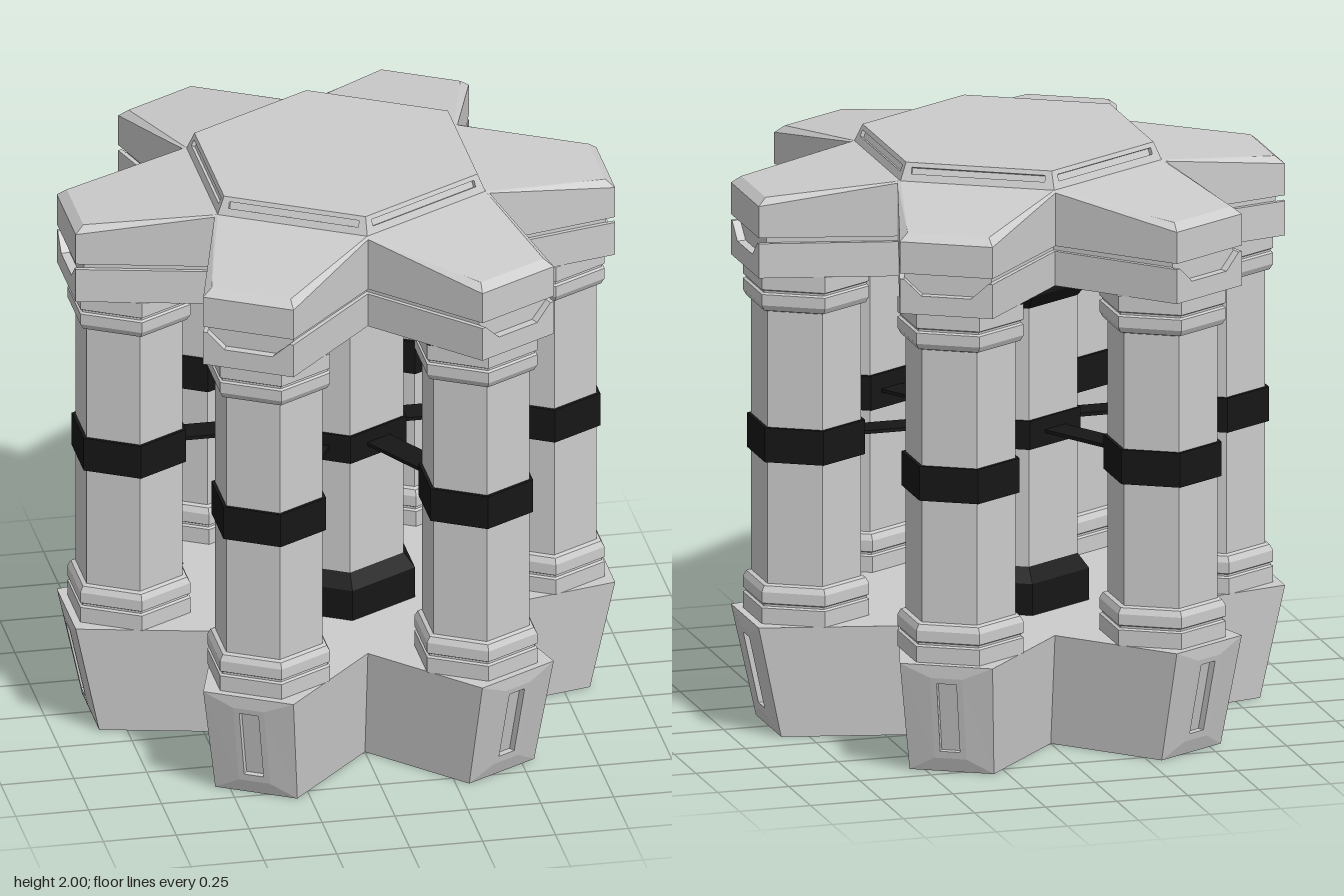
import * as THREE from 'three';

const grey = new THREE.MeshStandardMaterial({ color: 0xcccccc, flatShading: true });
const black = new THREE.MeshStandardMaterial({ color: 0x161616, flatShading: true });
const V = (x, y, z) => new THREE.Vector3(x, y, z);
const STEP = Math.PI / 3;

// Joins matching loops of points; skip(ring, i) leaves a quad open
function loft(rings, { start = false, end = false, skip = () => false } = {}) {
  const out = [];
  const tri = (...p) => p.forEach(v => out.push(v.x, v.y, v.z));
  const cap = (ring, flip) => {
    const c = ring.reduce((s, p) => s.add(p), V(0, 0, 0)).divideScalar(ring.length);
    ring.forEach((p, i) => {
      const q = ring[(i + 1) % ring.length];
      if (p.distanceTo(q) < 1e-5) return;
      flip ? tri(c, q, p) : tri(c, p, q);
    });
  };
  for (let r = 0; r + 1 < rings.length; r++) {
    const A = rings[r], B = rings[r + 1];
    A.forEach((a, i) => {
      if (skip(r, i)) return;
      const j = (i + 1) % A.length;
      if (a.distanceTo(A[j]) > 1e-5) tri(a, A[j], B[j]);
      if (B[i].distanceTo(B[j]) > 1e-5) tri(a, B[j], B[i]);
    });
  }
  if (start) cap(rings[0], true);
  if (end) cap(rings[rings.length - 1], false);
  const g = new THREE.BufferGeometry();
  g.setAttribute('position', new THREE.Float32BufferAttribute(out, 3));
  g.computeVertexNormals();
  return g;
}

// Six-armed star outline: two tip corners, then a valley, per arm
function star(tip, half, valley, y, yValley = y) {
  const pts = [];
  for (let k = 0; k < 6; k++) {
    const a = k * STEP;
    const at = (x, w, h) => V(x * Math.cos(a) - w * Math.sin(a), h, -x * Math.sin(a) - w * Math.cos(a));
    pts.push(at(tip, -half, y), at(tip, half, y));
    pts.push(V(valley * Math.cos(a + STEP / 2), yValley, -valley * Math.sin(a + STEP / 2)));
  }
  return pts;
}

// Star outline whose tips are drawn back onto the valleys, giving a hexagon
function hexStar(r, y) {
  const s = star(0, 0, r, y);
  return s.map((p, i) => (i % 3 === 0 ? s[(i + 17) % 18] : i % 3 === 1 ? s[i + 1] : p).clone());
}

// Four corners of an outward-facing panel on the +x side
const rect = (x0, y0, h0, x1, y1, h1 = h0) =>
  [V(x0, y0, h0), V(x0, y0, -h0), V(x1, y1, -h1), V(x1, y1, h1)];

const lathe = pts => new THREE.LatheGeometry(pts.map(p => new THREE.Vector2(...p)), 6);
const mirrored = pts => [...pts, ...pts.map(([r, y]) => [r, 2 - y]).reverse()];

function add(parent, name, geometry, material = grey) {
  const m = new THREE.Mesh(geometry, material);
  m.name = name;
  parent.add(m);
  return m;
}

export function createModel() {
  const model = new THREE.Group();
  model.name = 'pillaredStructure';

  // Tapered star base, open at the tips where the slotted panels sit
  add(model, 'base', loft(
    [star(0.8417, 0.1456, 0.491, 0), star(0.925, 0.16, 0.54, 0.39)],
    { start: true, end: true, skip: (r, i) => i % 3 === 0 }));

  // Roof: lower slab, groove, then upper slab sloping up to the hexagon
  add(model, 'roofLowerSlab', loft(
    [star(0.895, 0.167, 0.54, 1.61), star(0.895, 0.167, 0.54, 1.73)], { start: true, end: true }));
  add(model, 'roofGroove', loft([star(0.895, 0.15, 0.52, 1.73), star(0.895, 0.15, 0.52, 1.75)]));
  add(model, 'roofUpperSlab', loft([
    star(0.925, 0.16, 0.545, 1.75),
    star(0.925, 0.16, 0.545, 1.86, 1.935),
    star(0.895, 0.14, 0.53, 1.885, 1.94),
    hexStar(0.53, 1.94),
  ], { start: true }));
  add(model, 'roofTop', loft([hexStar(0.502, 2)], { end: true }));

  // Central column with black collars and band
  add(model, 'centralColumn', lathe([[0.24, 0.39], [0.24, 1.61]]));
  const collar = [[0.28, 0.39], [0.28, 0.5], [0.24, 0.55]];
  add(model, 'centralLowerCollar', lathe(collar), black);
  add(model, 'centralUpperCollar', lathe(collar.map(([r, y]) => [r, 2 - y]).reverse()), black);
  add(model, 'centralBand', lathe([[0.235, 0.96], [0.25, 0.96], [0.25, 1.06], [0.235, 1.06]]), black);

  // Geometry shared by all six arms
  const face = (y, out) => 0.8417 + 0.2137 * y + out;
  const panel = (y0, y1, h, out) => rect(face(y0, out), y0, h, face(y1, out), y1);
  const basePanel = loft([
    rect(0.8417, 0, 0.1456, 0.925, 0.39, 0.16),
    panel(0.05, 0.345, 0.055, 0.009),
    panel(0.075, 0.325, 0.034, 0.009),
    panel(0.075, 0.325, 0.034, -0.015),
  ], { end: true });

  const slope = (t, h) => { // point pair on the slanted edge of the roof top
    const x = THREE.MathUtils.lerp(0.53, 0.502, t) * Math.cos(STEP / 2);
    return [x, 1.94 + 0.06 * t, h ?? THREE.MathUtils.lerp(0.53, 0.502, t) / 2];
  };
  const slot = [...slope(0.4, 0.23), ...slope(0.75, 0.23)];
  const sunk = slot.map((v, i) => (i % 3 === 0 ? v - 0.012 : i % 3 === 1 ? v - 0.006 : v));
  const roofEdge = loft([
    rect(...slope(0), ...slope(1)), rect(...slot), rect(...sunk),
  ], { end: true });

  // Notched block closing the tip of the lower slab
  const outline = [[-0.16, 1.61], [0.16, 1.61], [0.16, 1.73], [0.145, 1.73],
    [0.085, 1.675], [-0.085, 1.675], [-0.145, 1.73], [-0.16, 1.73]];
  const tipBlock = new THREE.ExtrudeGeometry(
    new THREE.Shape(outline.map(p => new THREE.Vector2(...p))), { depth: 0.03, bevelEnabled: false });
  const pos = tipBlock.attributes.position;
  for (let i = 0; i < pos.count; i++) if (pos.getZ(i) < 0.01) pos.setX(i, pos.getX(i) * 1.045);
  tipBlock.rotateY(Math.PI / 2).translate(0.895, 0, 0);

  const column = lathe(mirrored([
    [0.218, 0.39], [0.218, 0.445], [0.208, 0.45], [0.208, 0.457], [0.218, 0.462],
    [0.218, 0.5], [0.206, 0.52], [0.19, 0.525],
  ])).translate(0.71, 0, 0);
  const belt = lathe([[0.185, 0.95], [0.203, 0.95], [0.203, 1.07], [0.185, 1.07]]).translate(0.71, 0, 0);
  const strap = new THREE.BoxGeometry(0.37, 0.012, 0.1).translate(0.375, 1.01, 0);

  for (let k = 0; k < 6; k++) {
    const arm = new THREE.Group();
    arm.name = 'arm' + (k + 1);
    arm.rotation.y = k * STEP;
    add(arm, 'baseSlotPanel', basePanel);
    add(arm, 'roofSlottedEdge', roofEdge);
    add(arm, 'roofNotchedTip', tipBlock);
    add(arm, 'outerColumn', column);
    add(arm, 'columnBelt', belt, black);
    add(arm, 'connectingStrap', strap, black);
    model.add(arm);
  }
  return model;
}
